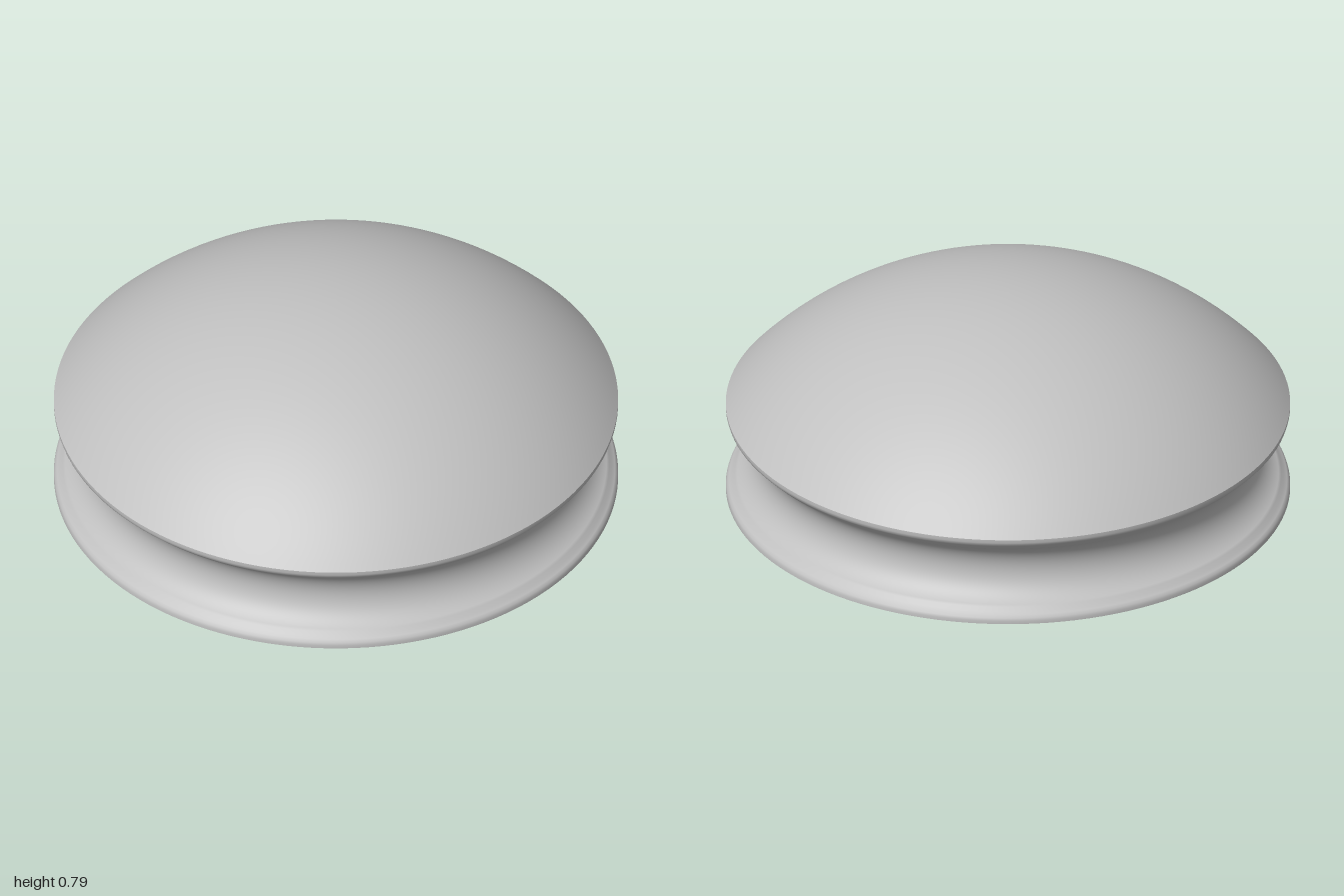
import * as THREE from 'three';

const SEGMENTS = 128;
const EDGE_Y = 0.34;    // where the dome meets the rim
const TOP_Y = 0.79;
const HOLE_R = 0.243;
const HOLE_DEPTH = 0.45;

// points on an arc in the (radius, height) plane
function arc(cx, cy, r, from, to, steps) {
  return Array.from({ length: steps + 1 }, (_, i) => {
    const a = from + (to - from) * i / steps;
    return new THREE.Vector2(cx + r * Math.cos(a), cy + r * Math.sin(a));
  });
}

export function createModel() {
  const group = new THREE.Group();
  group.name = 'groovedKnob';
  const grey = new THREE.MeshStandardMaterial({ color: 0xc0c0c0 });
  grey.name = 'grey';

  // each turned section is its own lathe, so the edges between them stay sharp
  const turn = (name, points) => {
    const mesh = new THREE.Mesh(new THREE.LatheGeometry(points, SEGMENTS), grey);
    mesh.name = name;
    group.add(mesh);
  };
  const v = (x, y) => new THREE.Vector2(x, y);

  // flat underside around the bore
  turn('base', [v(HOLE_R, 0), v(1, 0)]);

  // grooved side: rounded lower lip, concave channel, rounded upper lip
  const mid = EDGE_Y / 2;
  const lip = [v(1, 0), v(1, 0.012), v(0.997, 0.022), v(0.989, 0.031), v(0.977, 0.037)];
  const channel = arc(1.024, mid, 0.131, Math.PI * 1.36, Math.PI * 0.64, 28);
  const upperLip = lip.map(p => v(p.x, EDGE_Y - p.y)).reverse();
  turn('groovedRim', [...lip, ...channel, ...upperLip]);

  // spherical cap
  const rise = TOP_Y - EDGE_Y;
  const R = (1 + rise * rise) / (2 * rise);
  const dome = arc(0, TOP_Y - R, R, Math.acos(1 / R), Math.PI / 2, 40);
  dome[dome.length - 1].x = 0;
  turn('dome', dome);

  // blind bore in the underside
  turn('boreWall', [v(HOLE_R, HOLE_DEPTH), v(HOLE_R, 0)]);
  turn('boreEnd', [v(0, HOLE_DEPTH), v(HOLE_R, HOLE_DEPTH)]);

  return group;
}
